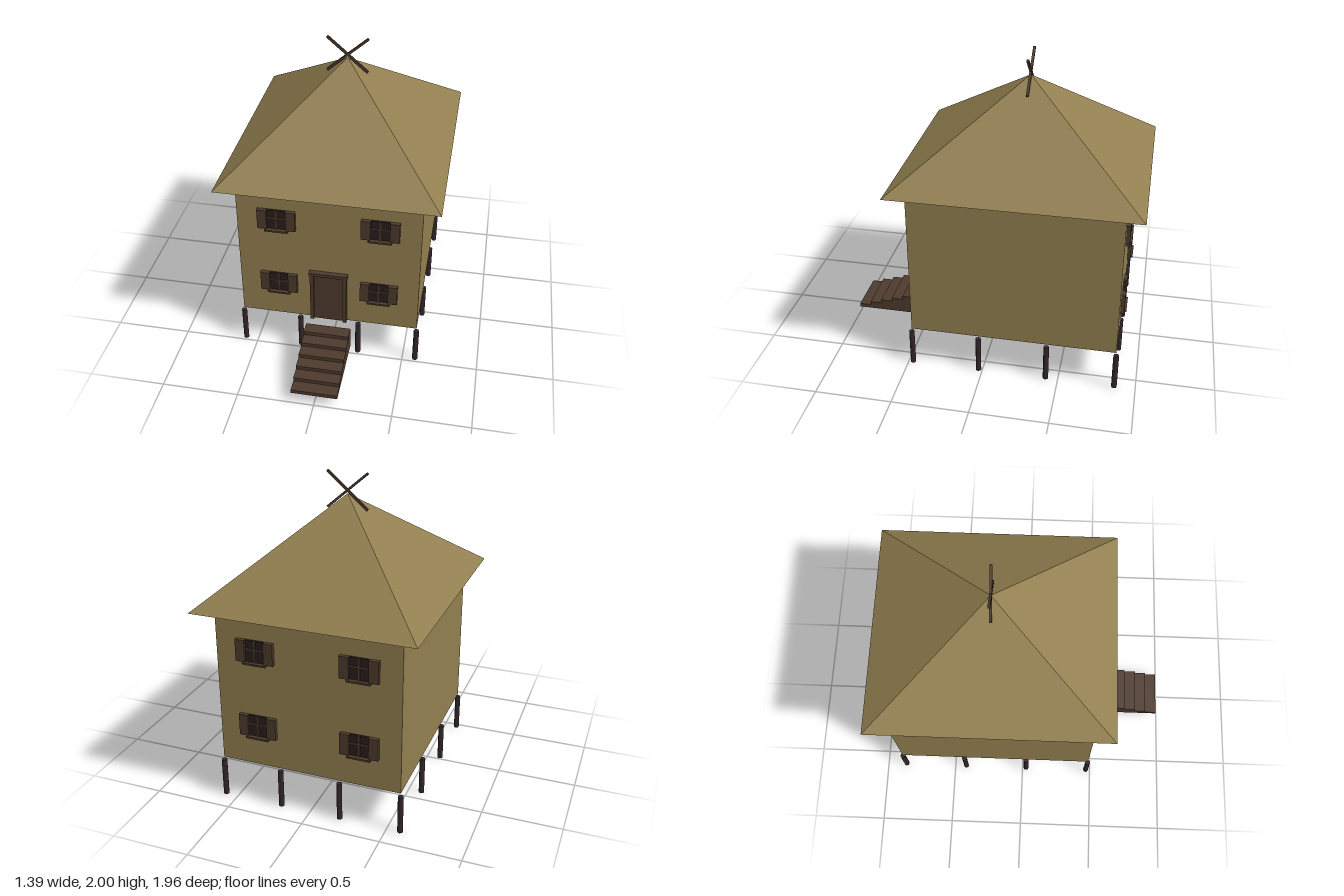
import * as THREE from 'three';

const flat = (name, color) => {
  const m = new THREE.MeshStandardMaterial({ color });
  m.name = name;
  return m;
};

export function createModel() {
  const model = new THREE.Group();
  model.name = 'stiltHouse';
  const thatch = flat('thatch', 0x927f50);
  const wood = flat('brown wood', 0x4d3a2d);
  const darkWood = flat('dark wood', 0x32262a);
  const glass = flat('dark glass', 0x281e1c);
  const midZ = -0.197;

  // Box given by its limits on each axis
  const box = (parent, name, mat, x0, x1, y0, y1, z0, z1) => {
    const m = new THREE.Mesh(new THREE.BoxGeometry(x1 - x0, y1 - y0, z1 - z0), mat);
    m.position.set((x0 + x1) / 2, (y0 + y1) / 2, (z0 + z1) / 2);
    m.name = name;
    parent.add(m);
    return m;
  };

  // Walls
  box(model, 'walls', thatch, -0.585, 0.585, 0.27, 1.27, -0.864, 0.47);

  // Pyramid roof with closed underside
  const roofGeo = new THREE.ConeGeometry(Math.SQRT1_2, 0.585, 4, 1).rotateY(Math.PI / 4).toNonIndexed();
  roofGeo.scale(1.394, 1, 1.56);
  roofGeo.computeVertexNormals();
  const roof = new THREE.Mesh(roofGeo, thatch);
  roof.name = 'roof';
  roof.position.set(0, 1.275 + 0.585 / 2, midZ);
  model.add(roof);

  // Crossed finial poles at the peak
  for (const s of [-1, 1]) {
    const pole = box(model, 'finialPole', wood, -0.173, 0.173, 1.873, 1.888, midZ - 0.008, midZ + 0.008);
    pole.rotation.z = s * 0.715;
  }

  // Grid of stilts
  const stiltGeo = new THREE.CylinderGeometry(0.018, 0.018, 0.25, 8);
  for (let i = 0; i < 4; i++) {
    for (let j = 0; j < 4; j++) {
      const stilt = new THREE.Mesh(stiltGeo, darkWood);
      stilt.name = 'stilt';
      stilt.position.set(-0.585 + i * 0.39, 0.125, 0.47 - j * 0.4447);
      model.add(stilt);
    }
  }

  // Stairs, each tread a box down to the base
  const stairs = new THREE.Group();
  stairs.name = 'stairs';
  for (let i = 0; i < 6; i++) {
    const z = 0.985 - i * 0.08;
    box(stairs, 'step', wood, -0.15, 0.15, 0.07, 0.096 + i * 0.026, z - 0.08, z);
  }
  model.add(stairs);

  // Door with posts and lintel
  const door = new THREE.Group();
  door.name = 'door';
  box(door, 'doorPanel', wood, -0.097, 0.097, 0.27, 0.64, 0.465, 0.484);
  for (const s of [-1, 1]) {
    box(door, 'doorPost', wood, s * 0.108 - 0.012, s * 0.108 + 0.012, 0.27, 0.64, 0.465, 0.5);
  }
  box(door, 'doorLintel', wood, -0.126, 0.126, 0.64, 0.662, 0.465, 0.504);
  model.add(door);

  // Shuttered window, built around its own centre and facing +z
  const addWindow = (x, y, z, turn) => {
    const w = new THREE.Group();
    w.name = 'window';
    box(w, 'pane', glass, -0.062, 0.062, -0.07, 0.07, -0.005, 0.012);
    box(w, 'mullion', wood, -0.005, 0.005, -0.07, 0.07, 0.01, 0.017);
    box(w, 'glazingBar', wood, -0.062, 0.062, 0.01, 0.019, 0.01, 0.017);
    for (const s of [-1, 1]) {
      box(w, 'shutter', wood, s * 0.091 - 0.03, s * 0.091 + 0.03, -0.07, 0.07, -0.005, 0.025);
    }
    box(w, 'sill', wood, -0.075, 0.075, -0.082, -0.07, -0.005, 0.036);
    w.position.set(x, y, z);
    w.rotation.y = turn;
    model.add(w);
  };
  for (const x of [-0.328, 0.328]) {
    for (const y of [0.544, 1.044]) {
      addWindow(x, y, 0.47, 0);
      addWindow(x, y, -0.864, Math.PI);
    }
  }
  return model;
}
